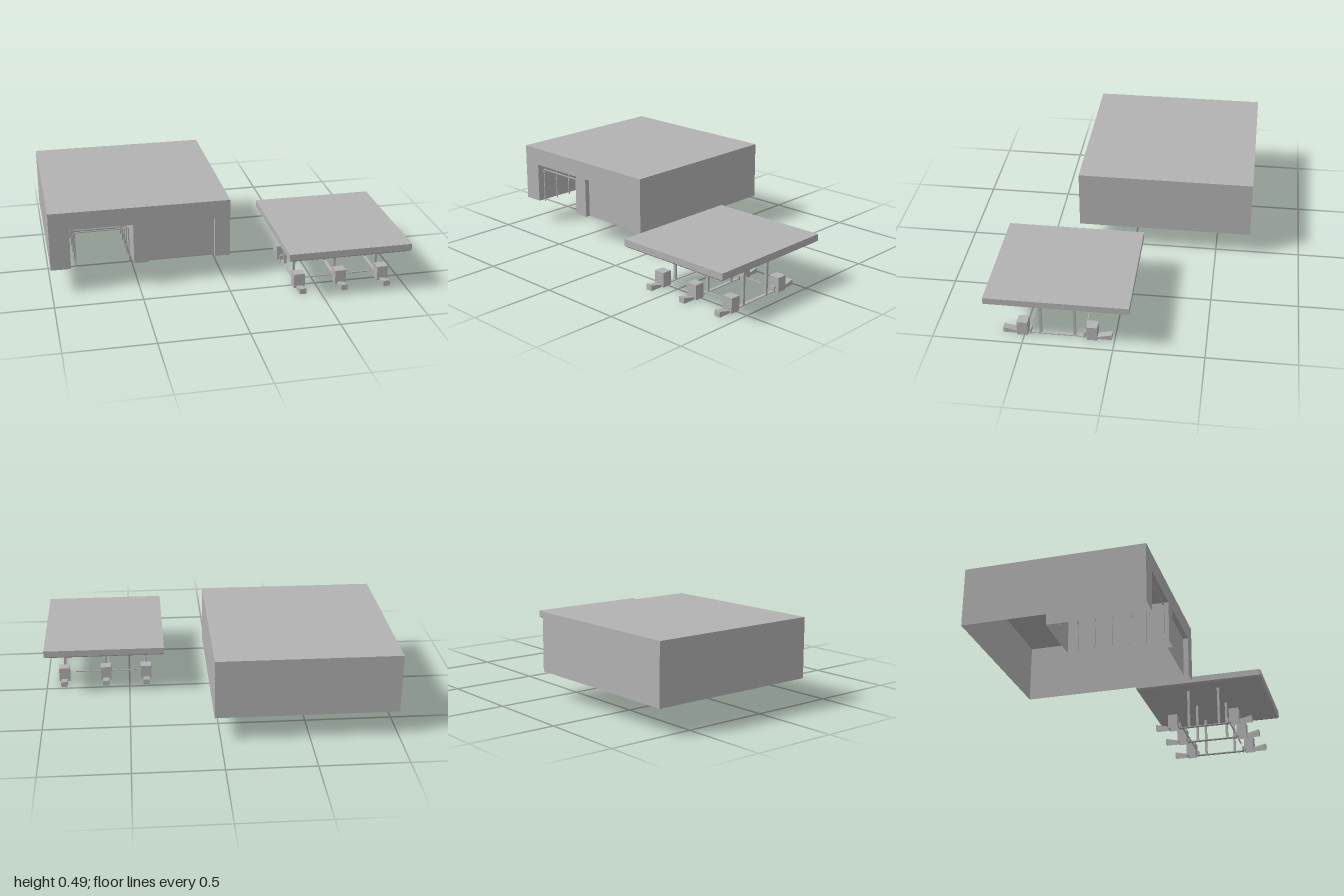
import * as THREE from 'three';

export function createModel() {
  const model = new THREE.Group();
  const grey = new THREE.MeshStandardMaterial({ color: 0xb2b2b2, side: THREE.DoubleSide });
  grey.name = 'grey';

  const add = (parent, name, geometry) => {
    const mesh = new THREE.Mesh(geometry, grey);
    mesh.name = name;
    parent.add(mesh);
    return mesh;
  };
  const group = (parent, name) => {
    const g = new THREE.Group();
    g.name = name;
    parent.add(g);
    return g;
  };
  // Box given by its limits; skipped faces: 0 +x, 1 -x, 2 +y, 3 -y, 4 +z, 5 -z
  const box = (x0, x1, y0, y1, z0, z1, skip = []) => {
    const g = new THREE.BoxGeometry(x1 - x0, y1 - y0, z1 - z0);
    g.translate((x0 + x1) / 2, (y0 + y1) / 2, (z0 + z1) / 2);
    g.setIndex([...g.index.array].filter((_, i) => !skip.includes(Math.floor(i / 6))));
    g.clearGroups();
    return g;
  };

  // Wash building: hollow shell, open underneath
  const building = group(model, 'building');
  const base = 0.147, roof = 0.492, front = 0.33, doorTop = 0.387;
  const bay = [-0.885, -0.525], door = [-0.44, -0.055];
  add(building, 'wallsAndRoof', box(-1, 0.035, base, roof, -0.7, front, [3, 4]));

  // Front wall with two doorways
  const wall = new THREE.Shape();
  wall.moveTo(-1, base);
  for (const [a, b] of [bay, door]) {
    wall.lineTo(a, base);
    wall.lineTo(a, doorTop);
    wall.lineTo(b, doorTop);
    wall.lineTo(b, base);
  }
  wall.lineTo(0.035, base);
  wall.lineTo(0.035, roof);
  wall.lineTo(-1, roof);
  add(building, 'frontWall', new THREE.ShapeGeometry(wall).translate(0, 0, front));

  // Deep wash bay and shallow closed door
  add(building, 'washBay', box(...bay, base, doorTop, -0.26, front, [3, 4]));
  add(building, 'closedDoor', box(...door, base, doorTop, front - 0.03, front, [3, 4]));

  // Thin arches along the wash bay
  for (let i = 0; i < 6; i++) {
    const arch = group(building, 'washArch');
    const z = 0.31 - i * 0.1, t = 0.006;
    add(arch, 'archPost', box(-0.857, -0.857 + t, base, 0.361, z - t, z));
    add(arch, 'archPost', box(-0.553, -0.553 + t, base, 0.361, z - t, z));
    add(arch, 'archBeam', box(-0.851, -0.553, 0.355, 0.361, z - t, z));
  }

  // Canopy slab with a tapered lower edge
  const canopy = group(model, 'canopy');
  add(canopy, 'canopyRoof', box(0.29, 1, 0.256, 0.294, -0.09, 0.7));
  const taper = box(0.29, 1, 0.246, 0.256, -0.09, 0.7, [2]);
  const tp = taper.attributes.position;
  for (let i = 0; i < tp.count; i++) {
    if (tp.getY(i) < 0.25) {
      tp.setX(i, 0.645 + (tp.getX(i) - 0.645) * 0.965);
      tp.setZ(i, 0.305 + (tp.getZ(i) - 0.305) * 0.97);
    }
  }
  taper.computeVertexNormals();
  add(canopy, 'canopyUnderside', taper);

  // Three fuel islands, each the same at both ends
  const midZ = 0.318;
  for (const x of [0.397, 0.643, 0.897]) {
    const island = group(model, 'fuelIsland');
    island.position.set(x, 0, midZ);
    add(island, 'islandStrip', box(-0.01, 0.01, 0, 0.005, -0.15, 0.15));
    for (const s of [1, -1]) {
      const end = group(island, 'islandEnd');
      end.rotation.y = s > 0 ? 0 : Math.PI;
      add(end, 'column', box(-0.007, 0.007, 0, 0.248, 0.088, 0.102));
      add(end, 'pump', box(-0.032, 0.032, 0, 0.086, 0.163, 0.223, [3]));
      add(end, 'stopPost', box(-0.016, 0.016, 0, 0.033, 0.146, 0.156));
      // Sloping nose rising towards the outside
      const nose = box(-0.019, 0.019, 0, 0.033, 0.223, 0.302, [3]);
      const p = nose.attributes.position;
      for (let i = 0; i < p.count; i++) if (p.getY(i) > 0.01 && p.getZ(i) < 0.25) p.setY(i, 0.014);
      nose.computeVertexNormals();
      add(end, 'slopingNose', nose);
    }
  }

  // Low rails linking the islands
  for (const z of [midZ + 0.151, midZ - 0.151]) {
    add(model, 'lowRail', box(0.45, 0.83, 0.025, 0.031, z - 0.003, z + 0.003));
  }
  return model;
}
